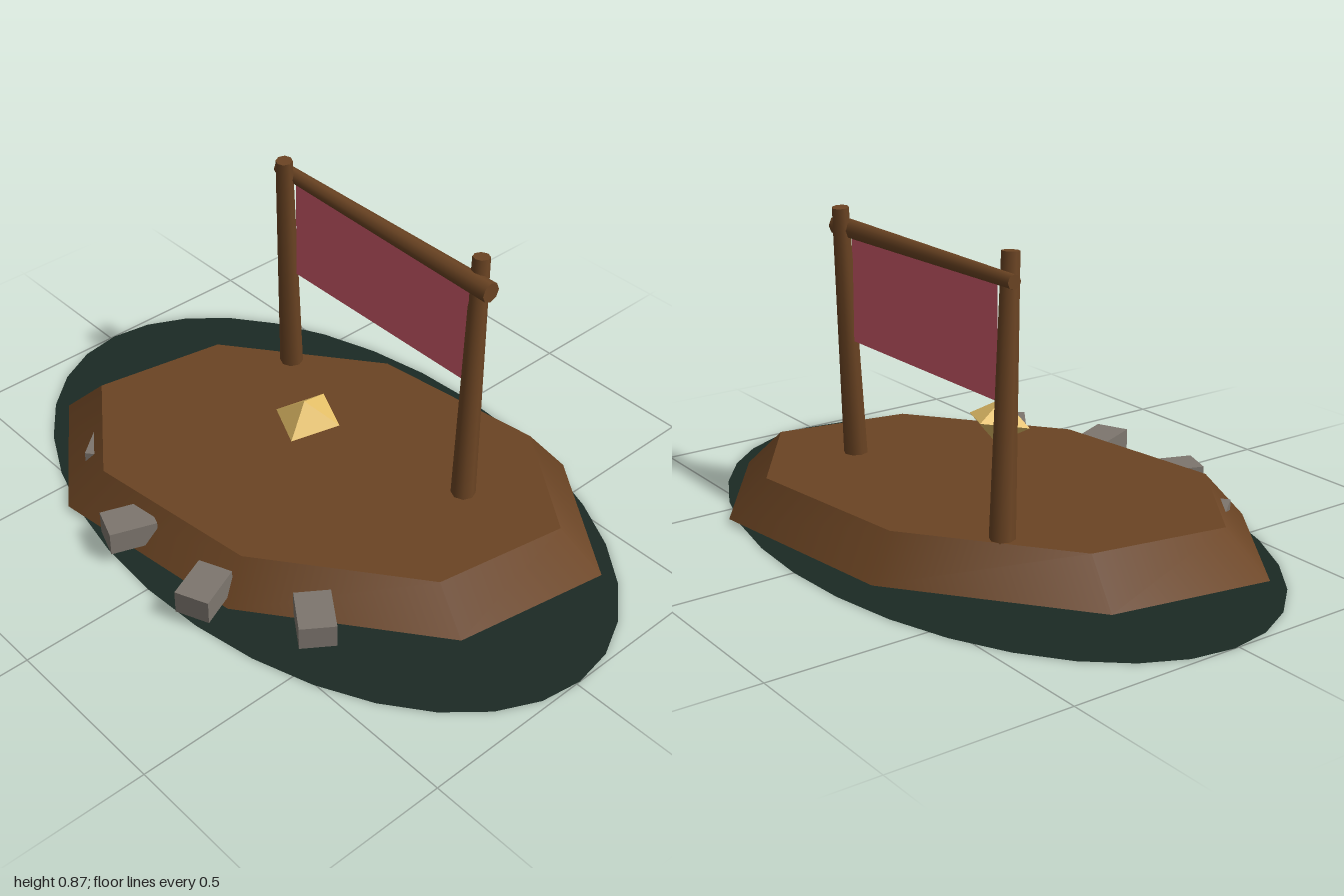
import * as THREE from 'three';

const mat = (color, extra = {}) => new THREE.MeshStandardMaterial({ color, ...extra });
const V = (x, y, z) => new THREE.Vector3(x, y, z);

export function createModel() {
  const model = new THREE.Group();
  model.name = 'campShrine';
  const wood = mat(0x6b4423);
  const earth = mat(0x6b4423);
  const stoneMat = mat(0x7d766e);

  const add = (name, geometry, material, parent = model) => {
    const mesh = new THREE.Mesh(geometry, material);
    mesh.name = name;
    parent.add(mesh);
    return mesh;
  };

  // Tapered round pole between two points
  const pole = (name, from, to, rFrom, rTo) => {
    const dir = to.clone().sub(from);
    const mesh = add(name, new THREE.CylinderGeometry(rTo, rFrom, dir.length(), 8), wood);
    mesh.position.copy(from).add(to).multiplyScalar(0.5);
    mesh.quaternion.setFromUnitVectors(V(0, 1, 0), dir.normalize());
    return mesh;
  };

  // Flat oval ground patch
  const ground = new THREE.CircleGeometry(1, 32).rotateX(-Math.PI / 2).scale(1, 1, 0.622);
  add('groundPatch', ground, mat(0x1b2a24, { side: THREE.DoubleSide })).position.z = -0.013;

  // Eight-sided mound, skewed by a pair of conjugate radii
  const mound = new THREE.CylinderGeometry(0.85, 1, 0.121, 8).applyMatrix4(
    new THREE.Matrix4().makeBasis(V(-0.706, 0, -0.133), V(0, 1, 0), V(0.408, 0, -0.595)));
  add('mound', mound, earth).position.set(0, 0.0725, -0.013);

  // Leaning posts and crossbeam
  pole('rightPost', V(-0.39, 0.125, -0.247), V(-0.352, 0.868, -0.195), 0.035, 0.024);
  pole('leftPost', V(0.389, 0.125, -0.2), V(0.347, 0.868, -0.257), 0.035, 0.024);
  pole('crossbeam', V(-0.417, 0.806, -0.232), V(0.415, 0.804, -0.226), 0.02, 0.029);

  // Hanging cloth
  const cloth = add('banner', new THREE.PlaneGeometry(0.68, 0.31),
    mat(0xd05a6c, { side: THREE.DoubleSide }));
  cloth.position.set(0, 0.637, -0.227);

  // Floating tilted gem
  const gem = new THREE.OctahedronGeometry(1, 0).applyMatrix4(
    new THREE.Matrix4().makeBasis(V(0.091, 0.006, -0.037), V(0, 0.063, 0.012), V(0.034, -0.017, 0.09)));
  add('gem', gem, mat(0xe6c068, { flatShading: true })).position.set(0, 0.288, 0.031);

  // Arc of stones along the front: x, z, heading in degrees
  const stones = new THREE.Group();
  stones.name = 'stones';
  model.add(stones);
  [[0.435, 0.39, 35], [0.163, 0.542, 67], [-0.17, 0.54, 110], [-0.455, 0.386, 141]]
    .forEach(([x, z, deg], i) => {
      const stone = add(`stone${i + 1}`, new THREE.BoxGeometry(0.135, 0.07, 0.1), stoneMat, stones);
      stone.position.set(x, 0.068, z);
      stone.rotation.y = -THREE.MathUtils.degToRad(deg);
    });

  return model;
}
